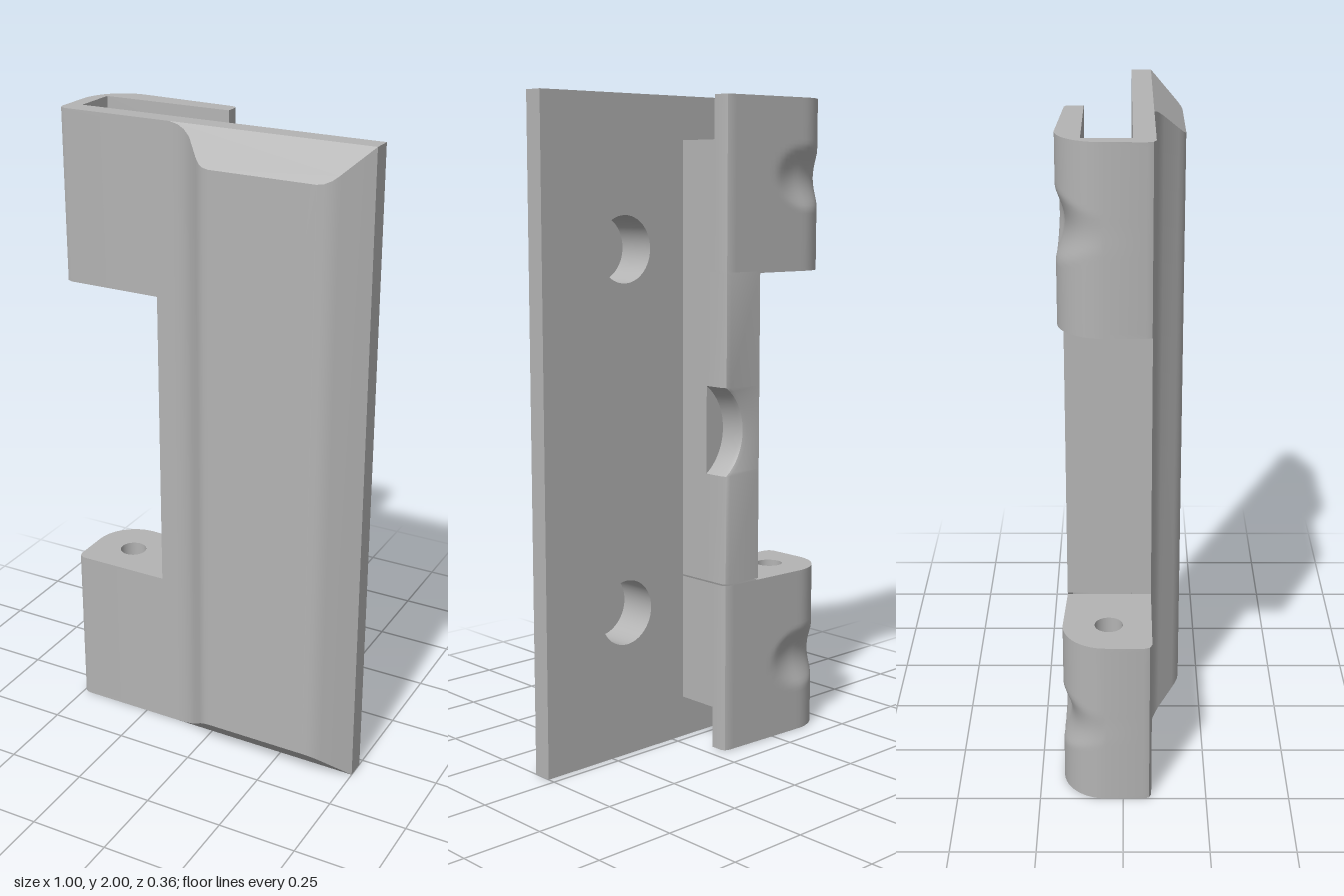
import * as THREE from 'three';
import { toCreasedNormals } from 'three/addons/utils/BufferGeometryUtils.js';

const H = 2;
const range = (a, b, n) => Array.from({ length: n + 1 }, (_, i) => a + ((b - a) * i) / n);

// Vertical wall that follows a path of [x, z] points; rule gives [x, y, z] for a path point and level
function wall(path, levels, rule = ([x, z], y) => [x, y, z]) {
  const pos = [], idx = [], n = path.length;
  levels.forEach((y) => path.forEach((p) => pos.push(...rule(p, y))));
  for (let j = 0; j < levels.length - 1; j++) {
    for (let i = 0; i < n - 1; i++) {
      const a = j * n + i;
      idx.push(a, a + 1, a + n + 1, a, a + n + 1, a + n);
    }
  }
  const g = new THREE.BufferGeometry();
  g.setAttribute('position', new THREE.Float32BufferAttribute(pos, 3));
  g.setIndex(idx);
  return toCreasedNormals(g, 0.6);
}

// Reverse the facing of a geometry
function flip(g) {
  const out = g.index ? g.toNonIndexed() : g.clone();
  const idx = [];
  for (let i = 0; i < out.attributes.position.count; i += 3) idx.push(i, i + 2, i + 1);
  out.setIndex(idx);
  return out;
}

const mirrorY = (g) => flip(g).scale(1, -1, 1).translate(0, H, 0);

// Horizontal face with an optional round hole [x, z, r]; up = false faces downwards
function cap(points, y, up, hole) {
  const shape = new THREE.Shape(points.map(([x, z]) => new THREE.Vector2(x, -z)));
  if (hole) shape.holes.push(new THREE.Path().absarc(hole[0], -hole[1], hole[2], 0, Math.PI * 2, true));
  const g = new THREE.ShapeGeometry(shape, 24).rotateX(-Math.PI / 2).translate(0, y, 0);
  if (up) return g;
  const f = flip(g).toNonIndexed();
  f.computeVertexNormals();
  return f;
}

export function createModel() {
  const root = new THREE.Group();
  const grey = new THREE.MeshStandardMaterial({ color: 0xb4b4b4, side: THREE.DoubleSide });
  grey.name = 'plain grey';
  const add = (name, g) => {
    const m = new THREE.Mesh(g, grey);
    m.name = name;
    root.add(m);
  };
  const addPair = (name, g) => {
    add(name + 'Lower', g);
    add(name + 'Upper', mirrorY(g));
  };

  const xIn = -0.18, xWall = -0.045, zBack = 0.025, zLip = 0.085;

  // Front leaf: raised panel whose ends are chamfered at 45 degrees
  const raised = [
    [-0.13, zLip], [-0.1, 0.09], [-0.075, 0.099], [-0.05, 0.114], [-0.005, 0.158], [0.01, 0.17],
    [0.025, 0.177], [0.045, 0.18], [0.37, 0.18], [0.39, 0.177], [0.41, 0.168], [0.425, 0.156], [0.5, zLip],
  ];
  const endY = (z) => Math.max(0, z - zLip);
  add('frontLeaf', wall([[xIn, zBack], [xIn, zLip], ...raised, [0.5, zBack]], [0, 1],
    ([x, z], t) => [x, t ? H - endY(z) : endY(z), z]));
  const chamfer = cap(raised, 0, false);
  const cp = chamfer.attributes.position;
  for (let i = 0; i < cp.count; i++) cp.setY(i, endY(cp.getZ(i)));
  chamfer.computeVertexNormals();
  addPair('leafChamfer', chamfer);
  addPair('leafEnd', cap([[xIn, zBack], [xIn, zLip], [0.5, zLip], [0.5, zBack]], 0, false));

  // Back of the leaf with two blind screw holes
  const screw = { x: 0.19, ys: [0.45, 1.55], r: 0.1, depth: 0.125 };
  const back = new THREE.Shape([[xIn, 0], [0.5, 0], [0.5, H], [xIn, H]].map((p) => new THREE.Vector2(...p)));
  screw.ys.forEach((y) => back.holes.push(new THREE.Path().absarc(screw.x, y, screw.r, 0, Math.PI * 2, true)));
  const backGeo = flip(new THREE.ShapeGeometry(back, 24)).toNonIndexed().translate(0, 0, zBack);
  backGeo.computeVertexNormals();
  add('leafBack', backGeo);
  screw.ys.forEach((y) => {
    add('screwHoleWall', flip(new THREE.CylinderGeometry(screw.r, screw.r, screw.depth, 48, 1, true))
      .rotateX(Math.PI / 2).translate(screw.x, y, zBack + screw.depth / 2));
    add('screwHoleFloor', new THREE.CircleGeometry(screw.r, 48).rotateY(Math.PI)
      .translate(screw.x, y, zBack + screw.depth));
  });

  // Spine between the knuckles, with a half-moon bite in its side
  const bite = (y) => Math.max(0, Math.sqrt(Math.max(0, 0.165 ** 2 - (y - 1) ** 2)) - 0.095);
  const spine = [
    [xWall, zBack], [xWall, -0.08], [xWall, -0.08, 1], [xWall, -0.148, 1], [-0.05, -0.16, 1],
    [-0.063, -0.165, 1], [xIn, -0.171], [xIn, zLip],
  ];
  add('spine', wall(spine, [0.53, ...range(0.865, 1.135, 24), 1.48],
    ([x, z, cut], y) => [x - (cut ? bite(y) : 0), y, z]));

  // Knuckles: rounded outer skin with a shallow thumb dent at the back corner
  const kTop = 0.525, floorY = 0.13, zRec = -0.11, xRec = -0.455;
  const pin = [-0.365, -0.043, 0.042];
  const arc = range(0, Math.PI / 2, 14).map((a) => [-0.37 - 0.13 * Math.sin(a), -0.05 - 0.13 * Math.cos(a)]);
  const backLine = range(0, 1, 16).slice(0, -1).map((t) => [-0.063 - 0.307 * t, -0.165 - 0.015 * t]);
  const leftFront = [[-0.5, 0.062], [-0.494, 0.078], [-0.478, zLip], [xIn, zLip]];
  const skin = [[xWall, zRec], [xWall, -0.148], [-0.05, -0.16], ...backLine, ...arc, ...leftFront];
  const dent = ([x, z], y) => {
    const d = z < -0.06 ? ((x + 0.38) / 0.14) ** 2 + ((y - 0.24) / 0.1) ** 2 : 1;
    const k = 0.028 * Math.max(0, 1 - d) ** 1.5;
    return [x + k * 0.4, y, z + k * 0.9];
  };
  addPair('knuckleSkin', wall(skin, range(0, kTop, 42), dent));
  addPair('knuckleSide', wall([[xWall, zBack], [xWall, zRec]], [floorY, kTop]));
  addPair('knuckleEnd', cap([...skin, [xIn, zBack], [xRec, zBack], [xRec, zRec]], 0, false));
  const inner = [[xIn, -0.171], ...backLine.filter(([x]) => x < xIn), ...arc, ...leftFront];
  addPair('knuckleInnerFace', cap(inner, kTop, true, pin));

  // Pocket in each knuckle end, with a pin hole through its floor
  const pocket = [[xWall, zBack], [xRec, zBack], [xRec, zRec], [xWall, zRec]];
  addPair('pocketWall', wall(pocket, [0, floorY]));
  addPair('pocketFloor', cap(pocket, floorY, false, pin));
  addPair('pinHole', flip(new THREE.CylinderGeometry(pin[2], pin[2], kTop - floorY, 32, 1, true))
    .translate(pin[0], (kTop + floorY) / 2, pin[1]));

  return root;
}
